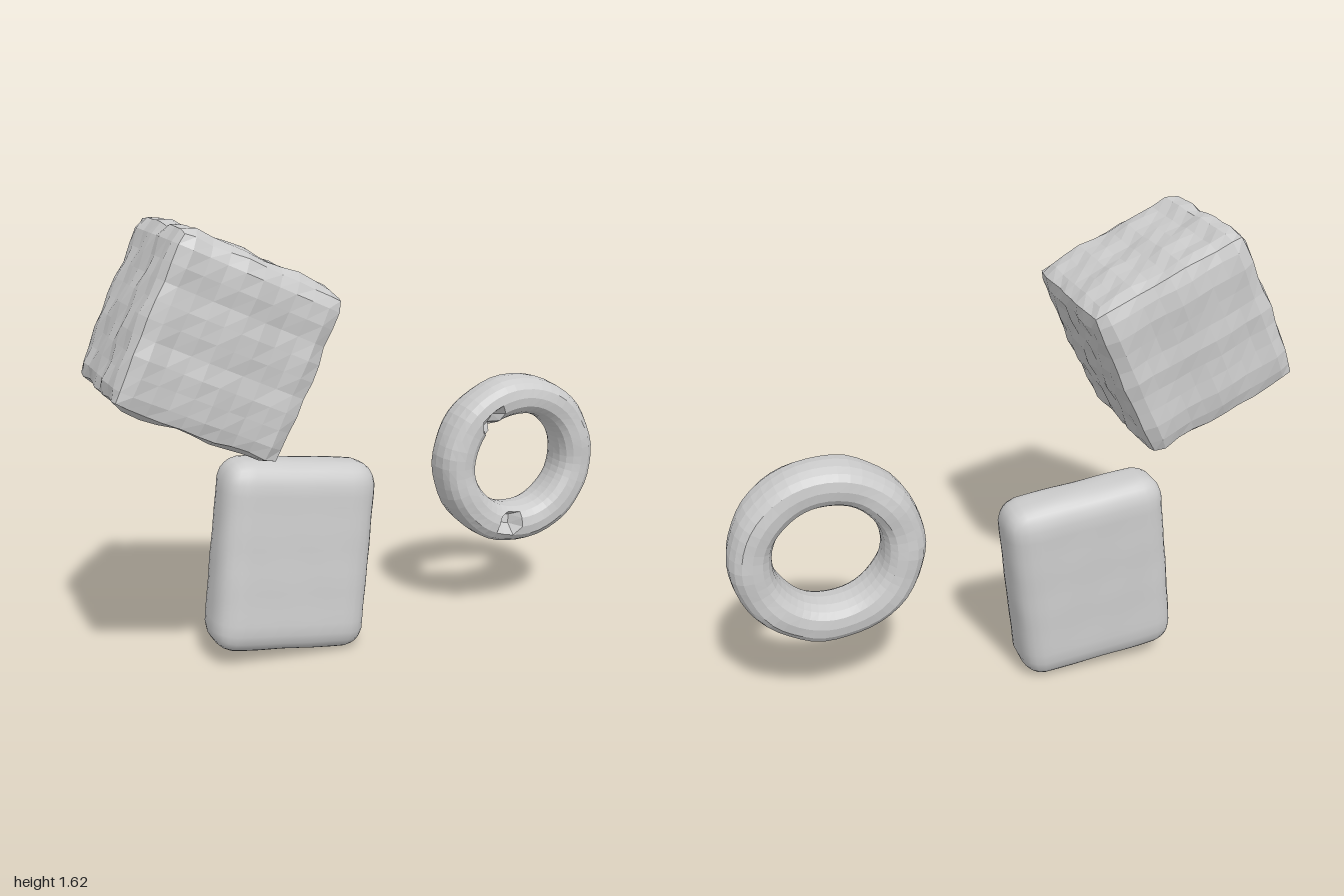
import * as THREE from 'three';
import { mergeVertices } from 'three/addons/utils/BufferGeometryUtils.js';

const makeMaterial = (flatShading) => new THREE.MeshStandardMaterial({ color: 0xcccccc, flatShading });

// Smooth repeatable unevenness, from -1 to 1
const bump = (x, y, z) =>
  (Math.sin(31 * x + 17 * y + 5) + Math.sin(37 * y - 23 * z + 1) + Math.sin(41 * z + 19 * x + 2)) / 3;

// Apply a rule to every vertex, then weld and recompute the normals
function reshape(geometry, rule) {
  const position = geometry.attributes.position;
  const p = new THREE.Vector3();
  for (let i = 0; i < position.count; i++) {
    p.fromBufferAttribute(position, i);
    rule(p);
    position.setXYZ(i, p.x, p.y, p.z);
  }
  geometry.deleteAttribute('uv');
  geometry.deleteAttribute('normal');
  const welded = mergeVertices(geometry, 1e-4);
  welded.computeVertexNormals();
  return welded;
}

// Box with rounded edges and hand-worked, uneven faces
function softBox(size, segments, radius, roughness) {
  const half = size.clone().multiplyScalar(0.5);
  const limit = half.clone().subScalar(radius);
  const floor = limit.clone().negate();
  const core = new THREE.Vector3();
  return reshape(new THREE.BoxGeometry(size.x, size.y, size.z, ...segments), (p) => {
    core.copy(p).clamp(floor, limit);
    const out = p.clone().sub(core).normalize();
    const lift = radius + roughness * bump(p.x, p.y, p.z);
    p.copy(core).addScaledVector(out, lift);
  });
}

function addMesh(group, name, geometry, flat) {
  const mesh = new THREE.Mesh(geometry, makeMaterial(flat));
  mesh.name = name;
  group.add(mesh);
  return mesh;
}

export function createModel() {
  const group = new THREE.Group();
  group.name = 'floatingShapes';

  // Rough cube, tilted
  const cube = addMesh(group, 'roughCube',
    softBox(new THREE.Vector3(0.6, 0.6, 0.6), [10, 10, 10], 0.06, 0.012), true);
  cube.position.set(-0.615, 1.245, 0);
  cube.rotation.z = -0.436;

  // Pillowy slab: flat back, front leaning back towards the top
  const slabGeometry = reshape(
    softBox(new THREE.Vector3(0.59, 0.71, 0.25), [16, 18, 8], 0.09, 0.002), (p) => {
      const depth = 0.235 - 0.075 * p.y;
      p.z = -0.125 + (p.z + 0.125) * depth / 0.25;
    });
  const slab = addMesh(group, 'slab', slabGeometry, false);
  slab.position.set(-0.275, 0.381, -0.178);
  slab.rotation.z = -0.124;

  // Ring with a deep, slightly squared section and two small pits in front
  const ringRadius = 0.259, tubeRadius = 0.074, tubeDepth = 0.098;
  const pits = [[-0.135, 0.172], [-0.055, -0.24]];
  const square = (v) => Math.sign(v) * Math.pow(Math.abs(v), 0.8);
  const ringGeometry = reshape(new THREE.TorusGeometry(ringRadius, tubeRadius, 16, 48), (p) => {
    const angle = Math.atan2(p.y, p.x);
    const across = square((Math.hypot(p.x, p.y) - ringRadius) / tubeRadius);
    const front = square(p.z / tubeRadius);
    const uneven = 1 + 0.05 * bump(p.x, p.y, p.z);
    const radius = ringRadius + across * tubeRadius * uneven;
    p.set(Math.cos(angle) * radius, Math.sin(angle) * radius, front * tubeDepth * uneven);
    for (const [x, y] of pits) {
      if (p.z > 0.03 && Math.hypot(p.x - x, p.y - y) < 0.032) p.z -= 0.06;
    }
  });
  const ring = addMesh(group, 'ring', ringGeometry, true);
  ring.position.set(0.665, 0.637, -0.205);

  return group;
}
